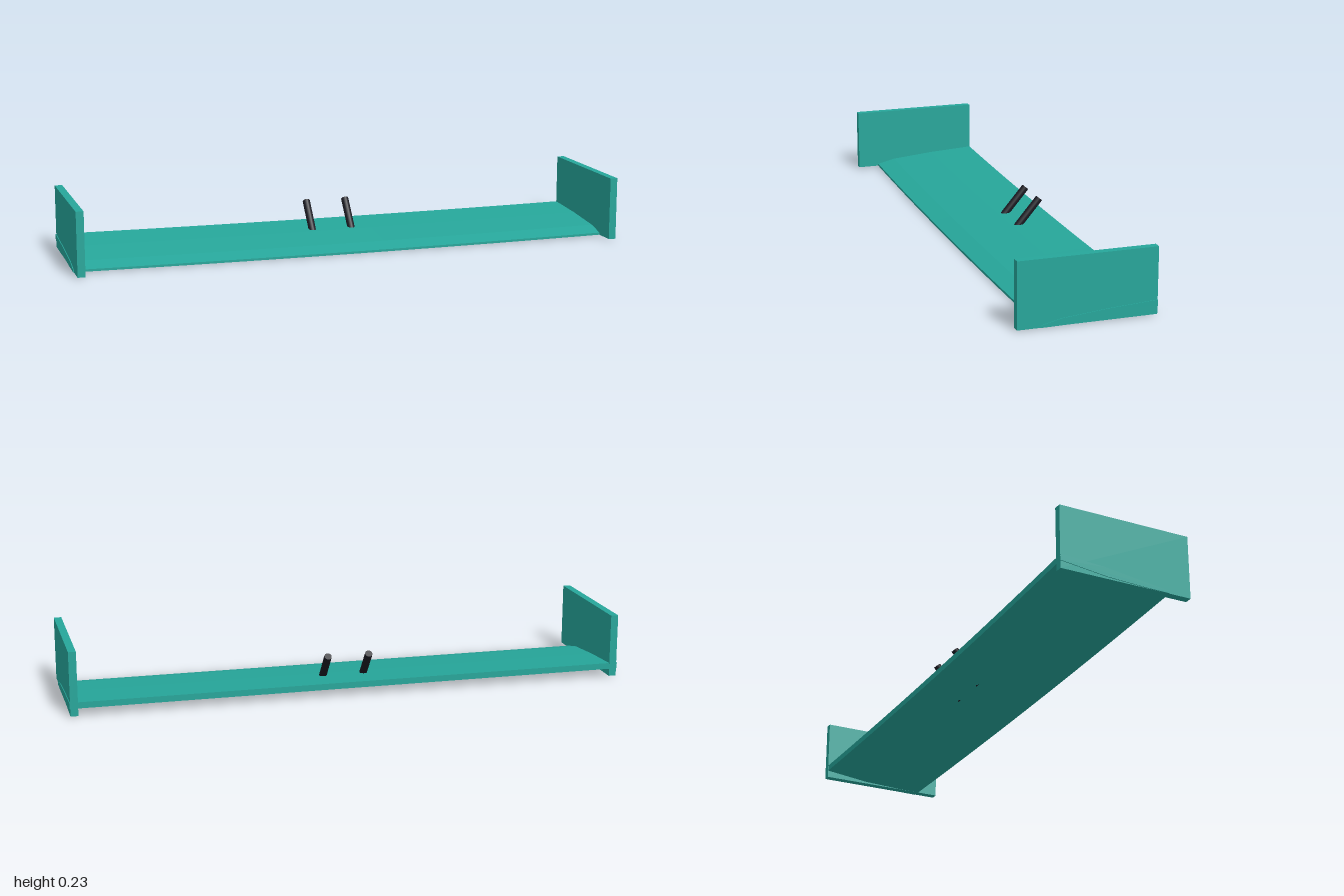
import * as THREE from 'three';

const teal = new THREE.MeshStandardMaterial({ color: 0x26a69a });
teal.name = 'teal';
const black = new THREE.MeshStandardMaterial({ color: 0x1a1a22 });
black.name = 'black';

// Aerofoil cross-section at the wing tips, as [z, y] from the leading edge over the top
const PROFILE = [
  [0.158, 0.003], [0.158, 0.011], [0.09, 0.027], [-0.07, 0.042],
  [-0.238, 0.052], [-0.238, 0.03], [-0.07, 0.01], [0.08, 0.004],
];

// Wing blade: profile swept across the span, bowed slightly forward and down at the centre
function wingBlade() {
  const shape = new THREE.Shape(PROFILE.map(([z, y]) => new THREE.Vector2(-z, y)));
  const geo = new THREE.ExtrudeGeometry(shape, { depth: 2, steps: 14, bevelEnabled: false });
  geo.rotateY(Math.PI / 2);
  geo.translate(-1, 0, 0);
  const pos = geo.attributes.position;
  for (let i = 0; i < pos.count; i++) {
    const bow = 1 - pos.getX(i) ** 2;
    pos.setY(i, pos.getY(i) - 0.003 * bow);
    pos.setZ(i, pos.getZ(i) + 0.01 * bow);
  }
  geo.computeVertexNormals();
  const mesh = new THREE.Mesh(geo, teal);
  mesh.name = 'wingBlade';
  return mesh;
}

// Upright plate closing one end of the wing
function endPlate(side) {
  const mesh = new THREE.Mesh(new THREE.BoxGeometry(0.027, 0.228, 0.476), teal);
  mesh.position.set(side * 0.984, 0.117, 0);
  mesh.name = side > 0 ? 'leftEndPlate' : 'rightEndPlate';
  return mesh;
}

// Round mounting strut leaning backwards out of the blade
function strut(side) {
  const bottom = new THREE.Vector3(side * 0.075, 0.015, -0.07);
  const top = new THREE.Vector3(side * 0.075, 0.132, -0.169);
  const axis = top.clone().sub(bottom);
  const geo = new THREE.CylinderGeometry(0.0135, 0.0135, axis.length(), 16);
  const mesh = new THREE.Mesh(geo, black);
  mesh.position.copy(bottom).add(top).multiplyScalar(0.5);
  mesh.quaternion.setFromUnitVectors(new THREE.Vector3(0, 1, 0), axis.normalize());
  mesh.name = side > 0 ? 'leftStrut' : 'rightStrut';
  return mesh;
}

export function createModel() {
  const model = new THREE.Group();
  model.name = 'wing';
  model.add(wingBlade());
  for (const side of [-1, 1]) model.add(endPlate(side), strut(side));
  return model;
}
